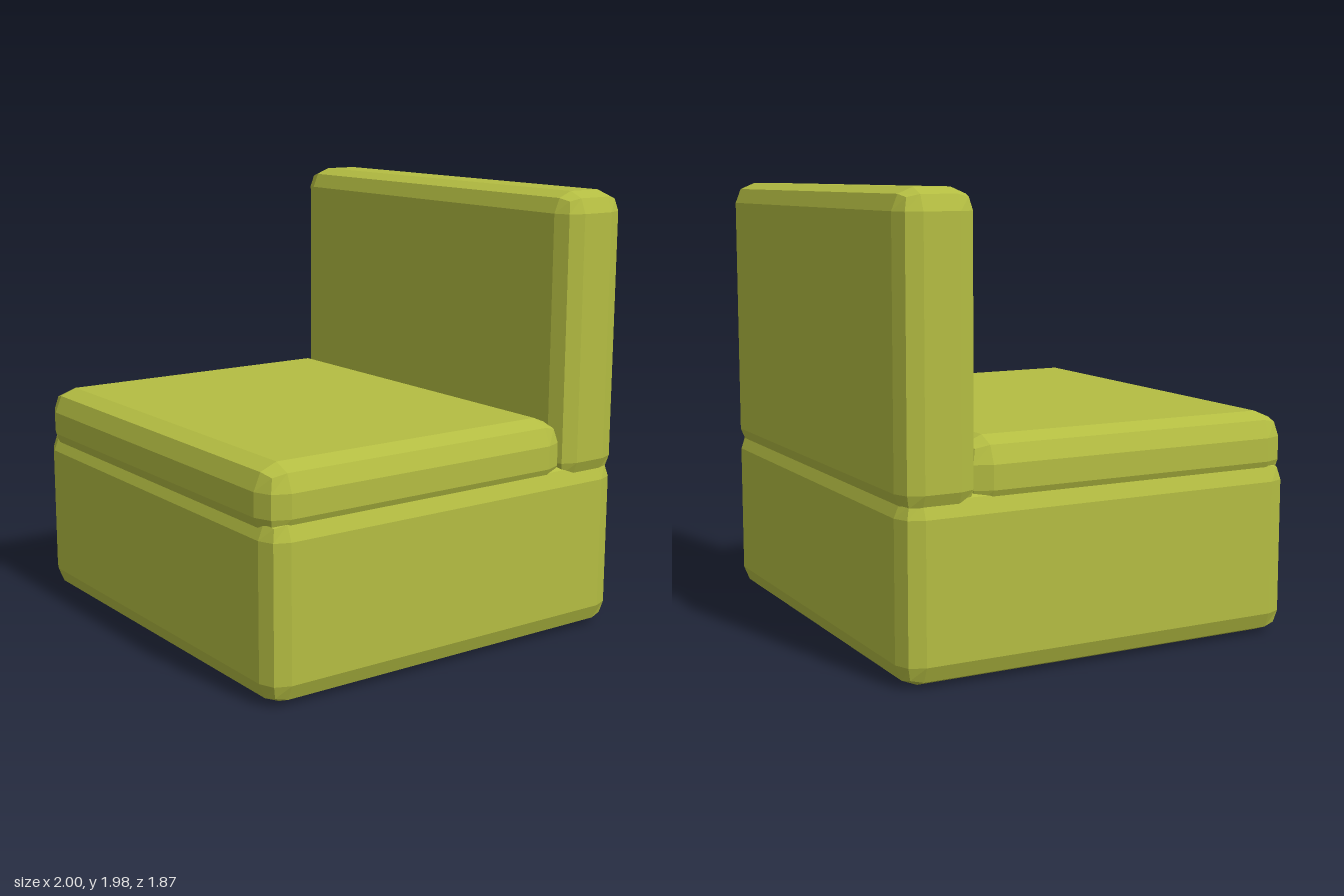
import * as THREE from 'three';
import { RoundedBoxGeometry } from 'three/addons/geometries/RoundedBoxGeometry.js';

export function createModel() {
  const model = new THREE.Group();
  model.name = 'armlessChair';
  const fabric = new THREE.MeshStandardMaterial({ color: 0xb4bd42, flatShading: true });

  // A padded block with two-step bevels, given by its extents.
  function block(name, halfWidth, [y0, y1], [z0, z1], radius) {
    const geometry = new RoundedBoxGeometry(2 * halfWidth, y1 - y0, z1 - z0, 1, radius);
    const mesh = new THREE.Mesh(geometry, fabric);
    mesh.name = name;
    mesh.position.set(0, (y0 + y1) / 2, (z0 + z1) / 2);
    model.add(mesh);
  }

  // The blocks overlap slightly so that their bevels meet in a groove.
  block('base', 1, [0, 0.785], [-0.935, 0.935], 0.095);
  block('seatCushion', 0.985, [0.67, 0.99], [-0.64, 0.935], 0.108);
  block('backrest', 1, [0.695, 1.98], [-0.935, -0.59], 0.093);

  return model;
}
